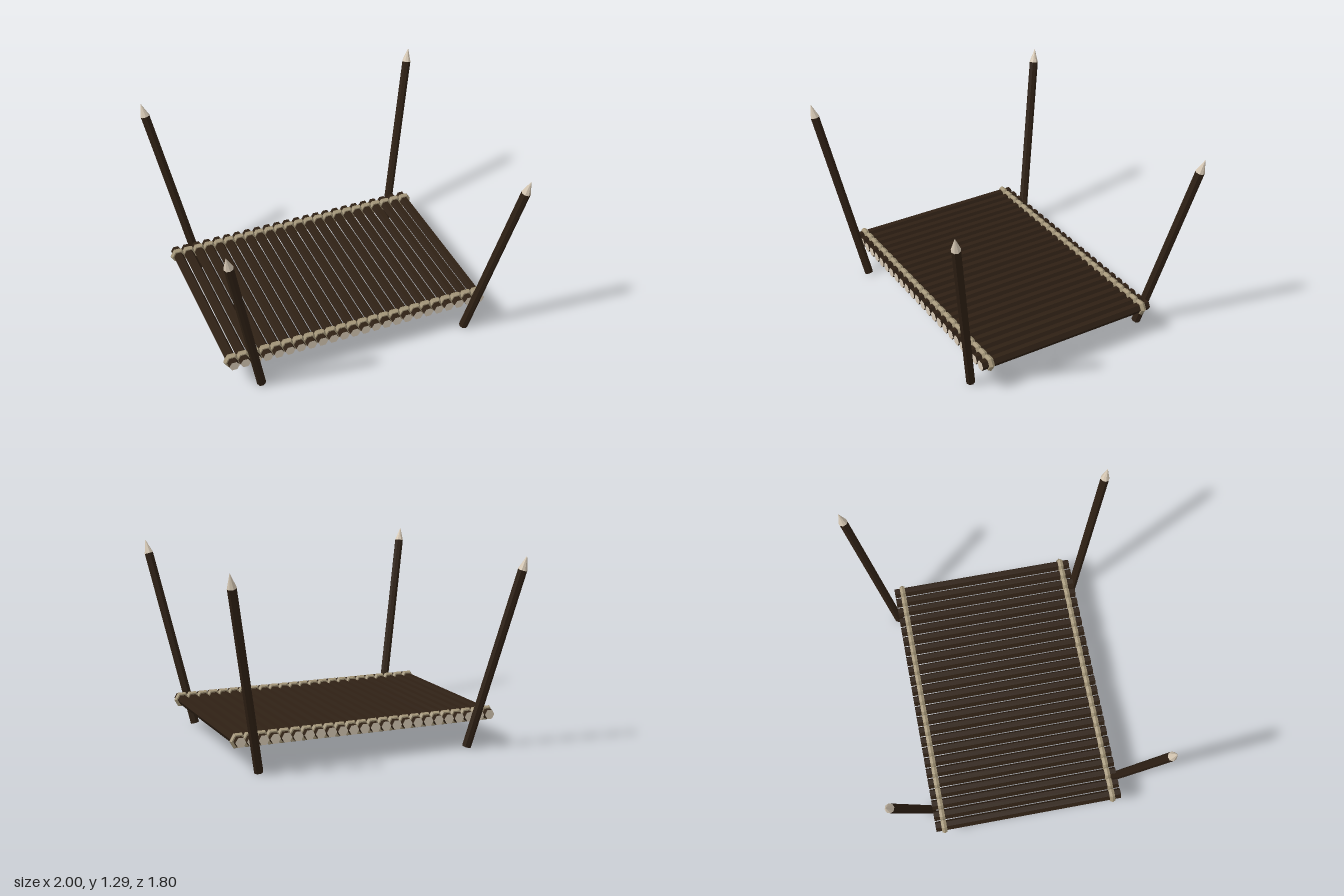
import * as THREE from 'three';

const material = (color) => new THREE.MeshStandardMaterial({ color, flatShading: true });

export function createModel() {
  const model = new THREE.Group();
  const bark = material(0x2e2014);
  const cutWood = material(0xd6c8b4);
  const rope = material(0xa39578);

  const add = (parent, name, geometry, mat, position) => {
    const mesh = new THREE.Mesh(geometry, mat);
    mesh.name = name;
    mesh.position.copy(position);
    parent.add(mesh);
    return mesh;
  };

  // Deck of hexagonal logs with pale sawn ends, each bound by two rope rings
  const deck = new THREE.Group();
  deck.name = 'logDeck';
  model.add(deck);
  const logCount = 24, firstX = -0.9, lastX = 0.84, deckY = 0.204;
  const logGeometry = new THREE.CylinderGeometry(0.035, 0.035, 1.276, 6);
  logGeometry.rotateY(Math.PI / 2).rotateX(Math.PI / 2);
  const ringGeometry = new THREE.TorusGeometry(0.034, 0.021, 6, 6);
  for (let i = 0; i < logCount; i++) {
    const x = THREE.MathUtils.lerp(firstX, lastX, i / (logCount - 1));
    add(deck, 'log', logGeometry, [bark, cutWood, cutWood], new THREE.Vector3(x, deckY, 0.01));
    for (const z of [0.587, -0.571]) {
      add(deck, 'ropeRing', ringGeometry, rope, new THREE.Vector3(x, deckY, z));
    }
  }

  // Four corner stakes leaning outward, with sharpened tips
  const up = new THREE.Vector3(0, 1, 0);
  for (const sx of [-1, 1]) {
    for (const sz of [-1, 1]) {
      const stake = new THREE.Group();
      stake.name = 'cornerStake';
      const foot = new THREE.Vector3(sx * 0.728, 0.008, sz > 0 ? 0.655 : -0.632);
      const head = new THREE.Vector3(sx * 0.968, 1.195, sz * 0.872);
      const length = foot.distanceTo(head);
      stake.position.copy(foot);
      stake.quaternion.setFromUnitVectors(up, head.clone().sub(foot).normalize());
      add(stake, 'stakePole', new THREE.CylinderGeometry(0.03, 0.03, length, 8), bark,
        new THREE.Vector3(0, length / 2, 0));
      add(stake, 'stakeTip', new THREE.ConeGeometry(0.031, 0.095, 8), cutWood,
        new THREE.Vector3(0, length + 0.0475, 0));
      model.add(stake);
    }
  }
  return model;
}
